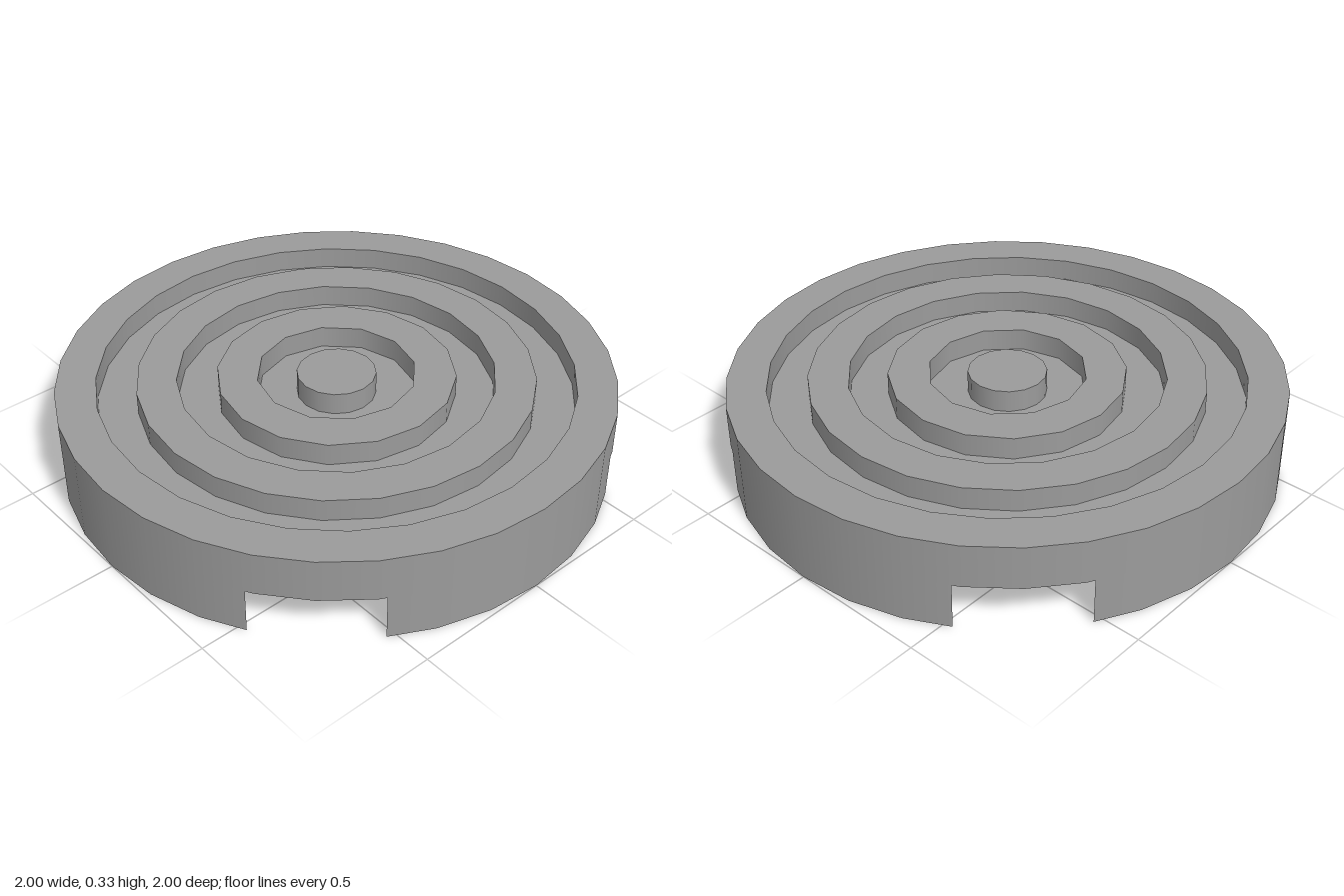
import * as THREE from 'three';

const LEG_TOP = 0.171, FLOOR = 0.25, TOP = 0.333;
const material = new THREE.MeshStandardMaterial({ color: 0x9b9b9b });

// Point on a circle in the ground plan
const polar = (r, a) => new THREE.Vector2(r * Math.cos(a), r * Math.sin(a));

// Corners of a regular polygon, counter-clockwise
function ring(r, sides) {
  return Array.from({ length: sides }, (_, i) => polar(r, (i / sides) * Math.PI * 2));
}

// Walls that run round the axis get exact radial normals, so they shade smoothly
function smoothRoundWalls(geo) {
  const { position, normal } = geo.attributes;
  const n = new THREE.Vector3(), radial = new THREE.Vector3();
  for (let i = 0; i < position.count; i++) {
    n.fromBufferAttribute(normal, i);
    radial.fromBufferAttribute(position, i).setY(0).normalize();
    const d = n.dot(radial);
    if (Math.abs(d) < 0.93) continue;
    radial.multiplyScalar(Math.sign(d));
    normal.setXYZ(i, radial.x, radial.y, radial.z);
  }
}

// Upright slab from a ground plan, with an optional hole
function slab(name, points, y0, y1, hole) {
  const shape = new THREE.Shape(points);
  if (hole) shape.holes.push(new THREE.Path(hole));
  const geo = new THREE.ExtrudeGeometry(shape, { depth: y1 - y0, bevelEnabled: false });
  geo.rotateX(-Math.PI / 2).translate(0, y0, 0);
  smoothRoundWalls(geo);
  const mesh = new THREE.Mesh(geo, material);
  mesh.name = name;
  return mesh;
}

export function createModel() {
  const group = new THREE.Group();
  group.name = 'ribbedDisc';

  // Base plate, which is also the floor of the grooves
  group.add(slab('basePlate', ring(1, 32), LEG_TOP, FLOOR));

  // Raised concentric ribs around a post
  group.add(slab('outerRim', ring(1, 32), FLOOR, TOP, ring(0.857, 28)));
  group.add(slab('middleRib', ring(0.714, 24), FLOOR, TOP, ring(0.571, 20)));
  group.add(slab('innerRib', ring(0.429, 16), FLOOR, TOP, ring(0.286, 12)));
  group.add(slab('centrePost', ring(0.143, 16), FLOOR, TOP));

  // Hub under the plate
  group.add(slab('hub', ring(0.35, 16), 0, LEG_TOP));

  // Four curved feet with slightly hollowed, slanted ends
  const end = new THREE.QuadraticBezierCurve(
    new THREE.Vector2(0.31, 0.794), new THREE.Vector2(0.345, 0.85), new THREE.Vector2(0.53, 0.845),
  ).getPoints(4);
  const mirroredEnd = end.map((p) => new THREE.Vector2(-p.x, p.y)).reverse();
  const outer = [-2, -1, 0, 1, 2].map((i) => polar(1, Math.PI / 2 + (i * Math.PI) / 16));
  const inner = [1, 0, -1].map((i) => polar(0.857, Math.PI / 2 + (i * Math.PI) / 14));
  const plan = [...end, ...outer, ...mirroredEnd, ...inner];
  for (let i = 0; i < 4; i++) {
    const foot = slab('foot' + (i + 1), plan, 0, LEG_TOP);
    foot.rotation.y = (i * Math.PI) / 2;
    group.add(foot);
  }
  return group;
}
